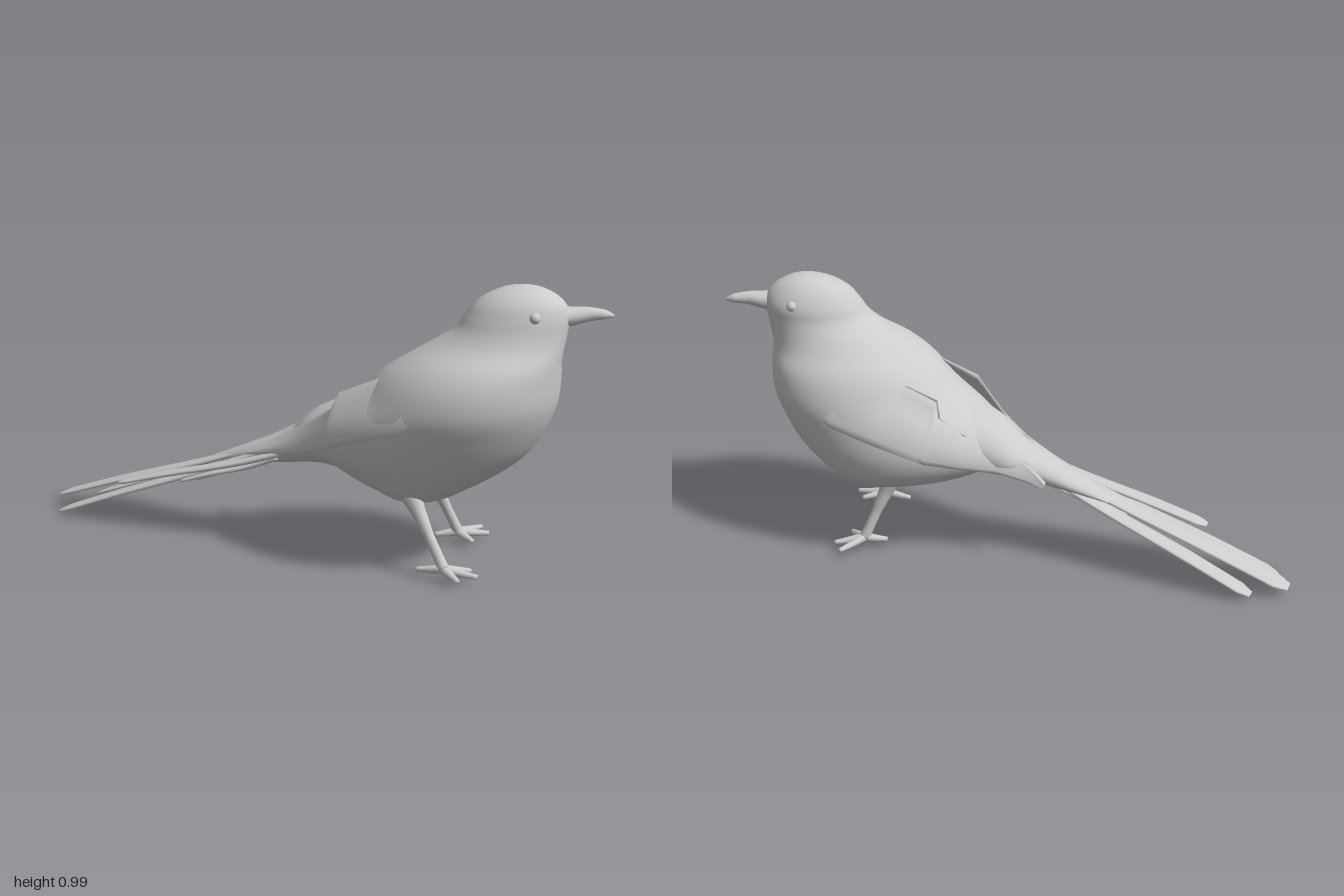
import * as THREE from 'three';

const V = (p) => new THREE.Vector3(...p);

// Closed skin over a list of rings, with fan caps at both ends
function loft(rings) {
  const n = rings[0].length, pos = [], idx = [];
  rings.forEach((r) => r.forEach((p) => pos.push(p.x, p.y, p.z)));
  for (let i = 0; i < rings.length - 1; i++) {
    for (let j = 0; j < n; j++) {
      const a = i * n + j, b = i * n + (j + 1) % n;
      idx.push(a, b, b + n, a, b + n, a + n);
    }
  }
  [0, rings.length - 1].forEach((e) => {
    const c = rings[e].reduce((s, p) => s.add(p), V([0, 0, 0])).divideScalar(n);
    const k = pos.length / 3;
    pos.push(c.x, c.y, c.z);
    for (let j = 0; j < n; j++) {
      const a = e * n + j, b = e * n + (j + 1) % n;
      if (e) idx.push(k, a, b); else idx.push(k, b, a);
    }
  });
  const g = new THREE.BufferGeometry();
  g.setAttribute('position', new THREE.Float32BufferAttribute(pos, 3));
  g.setIndex(idx);
  g.computeVertexNormals();
  return g;
}

// Elliptical sweep along a smooth path; w and h are half widths and half heights at the path points
function sweep(points, w, h = w, sides = 14) {
  const curve = new THREE.CatmullRomCurve3(points.map(V));
  const dir = V(points.at(-1)).sub(V(points[0])).normalize();
  const ref = Math.abs(dir.y) > 0.8 ? V([1, 0, 0]) : V([0, 1, 0]);
  const steps = (points.length - 1) * 6;
  const at = (a, t) => {
    const f = t * (a.length - 1), i = Math.min(Math.floor(f), a.length - 2);
    return THREE.MathUtils.lerp(a[i], a[i + 1], f - i);
  };
  const rings = [];
  for (let i = 0; i <= steps; i++) {
    const t = i / steps, p = curve.getPoint(t), T = curve.getTangent(t);
    const side = ref.clone().cross(T).normalize(), up = T.clone().cross(side);
    rings.push(Array.from({ length: sides }, (_, j) => {
      const a = (j / sides) * Math.PI * 2;
      return p.clone().addScaledVector(side, at(w, t) * Math.cos(a)).addScaledVector(up, at(h, t) * Math.sin(a));
    }));
  }
  return loft(rings);
}

// Horizontal body sections: y, x min, x max, z back, z front, skew, taper
const ROWS = [
  [0.237, 0.02, 0.1, 0.42, 0.48, 0.1, 0],
  [0.25, -0.07, 0.19, 0.34, 0.53, 0.1, 0.1],
  [0.28, -0.12, 0.26, 0.24, 0.585, 0.12, 0.12],
  [0.32, -0.155, 0.305, 0.12, 0.65, 0.15, 0.15],
  [0.4, -0.2, 0.34, 0.02, 0.75, 0.17, 0.15],
  [0.5, -0.22, 0.358, 0.06, 0.82, 0.17, 0.15],
  [0.6, -0.211, 0.37, 0.21, 0.86, 0.15, 0.12],
  [0.7, -0.17, 0.346, 0.31, 0.872, 0.14, 0.1],
  [0.75, -0.125, 0.315, 0.385, 0.875, 0.15, 0.06],
  [0.8, -0.055, 0.297, 0.46, 0.877, 0.18, 0.03],
  [0.85, -0.012, 0.29, 0.53, 0.88, 0.22, 0],
  [0.9, 0.013, 0.288, 0.56, 0.882, 0.23, 0],
  [0.95, 0.045, 0.262, 0.6, 0.862, 0.22, 0],
  [0.98, 0.085, 0.23, 0.65, 0.82, 0.2, 0],
  [0.995, 0.125, 0.195, 0.695, 0.78, 0.15, 0],
  [1.0, 0.155, 0.165, 0.735, 0.745, 0.1, 0],
];
const profile = new THREE.CubicInterpolant(ROWS.map((r) => r[0]), ROWS.flatMap((r) => r.slice(1)), 6);
function section(y) {
  const [x0, x1, z0, z1, skew, taper] = profile.evaluate(y);
  const hz = (z1 - z0) / 2, half = (x1 - x0) / 2;
  const w = Math.sqrt(half * half - (skew * hz) ** 2);
  return { cx: (x0 + x1) / 2, cz: (z0 + z1) / 2, hz, w, skew, taper };
}

function bodyGeometry() {
  const rings = [], n = 56, m = 64;
  for (let i = 0; i <= m; i++) {
    const y = 0.6185 - 0.3815 * Math.cos((i / m) * Math.PI);
    const s = section(y);
    rings.push(Array.from({ length: n }, (_, j) => {
      const a = (j / n) * Math.PI * 2, c = Math.cos(a);
      return V([s.cx + s.skew * s.hz * c + s.w * Math.sin(a) * (1 + s.taper * c), y, s.cz + s.hz * c]);
    }));
  }
  return loft(rings);
}

// Folded wing stations: z, lower y, upper y, least half width and lift off the body at the lower and upper edge
const WING = [
  [0.62, 0.6, 0.63, 0, 0, -0.006, -0.01], [0.5, 0.535, 0.7, 0, 0, 0.007, -0.012],
  [0.35, 0.485, 0.68, 0, 0, 0.01, -0.01], [0.21, 0.43, 0.615, 0.2, 0.14, 0.01, 0.005],
  [0.19, 0.42, 0.56, 0.195, 0.16, 0.01, 0.006], [0.1, 0.39, 0.5, 0.16, 0.11, 0.008, 0.006],
  [0, 0.36, 0.44, 0.125, 0.07, 0.006, 0.006], [-0.1, 0.335, 0.385, 0.09, 0.055, 0.006, 0.006],
  [-0.17, 0.325, 0.345, 0.07, 0.05, 0.006, 0.006],
];
function wingGeometry(side) {
  const n = 8, lerp = THREE.MathUtils.lerp;
  const rings = WING.map(([z, lo, hi, wl, wh, liftLow, liftHigh]) => {
    const layer = (offset) => Array.from({ length: n + 1 }, (_, j) => {
      const v = j / n, y = lerp(hi, lo, v), s = section(y);
      const c = THREE.MathUtils.clamp((z - s.cz) / s.hz, -1, 1);
      const skin = s.w * Math.sqrt(1 - c * c) * (1 + s.taper * c);
      const onBody = side * (s.cx + s.skew * s.hz * c) + skin + lerp(liftHigh, liftLow, v);
      const free = side * (0.07 + 0.24 * (z - 0.5)) + lerp(wh, wl, v) + 0.015 * Math.sin(v * Math.PI);
      const x = wl ? Math.max(onBody, free) : onBody;
      return V([side * (x + offset), y, z]);
    });
    const ring = [...layer(0), ...layer(-0.014).reverse()];
    return side > 0 ? ring : ring.reverse();
  });
  return loft(rings);
}

export function createModel() {
  const plumage = new THREE.MeshStandardMaterial({ color: 0xcccccc });
  plumage.name = 'plumage grey';
  const bird = new THREE.Group();
  bird.name = 'bird';
  const add = (name, geometry, parent = bird) => {
    const mesh = new THREE.Mesh(geometry, plumage);
    mesh.name = name;
    parent.add(mesh);
    return mesh;
  };

  add('bodyAndHead', bodyGeometry());
  add('leftWing', wingGeometry(1));
  add('rightWing', wingGeometry(-1));

  // Rump narrowing into the tail
  add('rump', sweep(
    [[0.02, 0.45, 0.3], [-0.025, 0.42, 0.1], [-0.05, 0.38, 0], [-0.08, 0.345, -0.1], [-0.1, 0.31, -0.22], [-0.12, 0.268, -0.36]],
    [0.21, 0.14, 0.11, 0.08, 0.06, 0.03], [0.16, 0.11, 0.07, 0.05, 0.03, 0.008], 28));

  // Beak
  add('beak', sweep(
    [[0.19, 0.896, 0.8], [0.232, 0.897, 0.865], [0.266, 0.905, 0.92], [0.297, 0.904, 0.965], [0.311, 0.9, 0.99]],
    [0.065, 0.042, 0.026, 0.018, 0.005], [0.04, 0.033, 0.024, 0.016, 0.005], 18));

  // Eyes
  [['leftEye', 0.272, 0.722], ['rightEye', 0.08, 0.82]].forEach(([name, x, z]) => {
    add(name, new THREE.SphereGeometry(0.019, 20, 14)).position.set(x, 0.912, z);
  });

  // Tail feathers: root, tip, half width
  const tail = new THREE.Group();
  tail.name = 'tail';
  bird.add(tail);
  [
    [[-0.085, 0.375, -0.08], [-0.255, 0.038, -0.998], 0.052],
    [[-0.115, 0.36, -0.08], [-0.348, 0.012, -0.92], 0.046],
    [[-0.065, 0.355, -0.08], [-0.152, 0.03, -0.9], 0.038],
    [[-0.14, 0.365, 0], [-0.305, 0.165, -0.655], 0.033],
    [[-0.07, 0.335, -0.05], [-0.165, 0.195, -0.4], 0.042],
    [[-0.13, 0.335, -0.05], [-0.23, 0.2, -0.42], 0.035],
  ].forEach(([a, b, w], i) => {
    const path = [0, 0.3, 0.7, 0.95, 1].map((t) => V(a).lerp(V(b), t).toArray());
    path[1][1] -= 0.008;
    add('tailFeather' + (i + 1), sweep(path, [w * 0.75, w * 0.85, w, w * 0.95, w * 0.5], [0.012, 0.011, 0.01, 0.008, 0.004], 12), tail);
  });

  // Legs and feet: hip, ankle, toe tips with the back toe last
  [
    ['leftLeg', [0.155, 0.3, 0.385], [0.245, 0.05, 0.465],
      [[0.362, 0.038, 0.495], [0.32, 0.037, 0.548], [0.215, 0.037, 0.543], [0.198, 0.037, 0.397]]],
    ['rightLeg', [-0.075, 0.31, 0.445], [-0.09, 0.05, 0.605],
      [[-0.02, 0.036, 0.67], [-0.06, 0.037, 0.718], [-0.13, 0.036, 0.683], [-0.115, 0.037, 0.512]]],
  ].forEach(([name, hip, ankle, toes]) => {
    const leg = new THREE.Group();
    leg.name = name;
    bird.add(leg);
    const mid = (t) => V(hip).lerp(V(ankle), t).toArray();
    add('shank', sweep([hip, mid(0.3), mid(0.6), mid(0.85), ankle], [0.045, 0.026, 0.018, 0.018, 0.02]), leg);
    toes.forEach((tip, i) => {
      const knuckle = V(ankle).lerp(V(tip), 0.5).toArray();
      knuckle[1] = 0.042;
      add('toe' + (i + 1), sweep([ankle, knuckle, tip], [0.018, 0.014, 0.009], [0.016, 0.013, 0.008], 10), leg);
    });
  });

  return bird;
}
